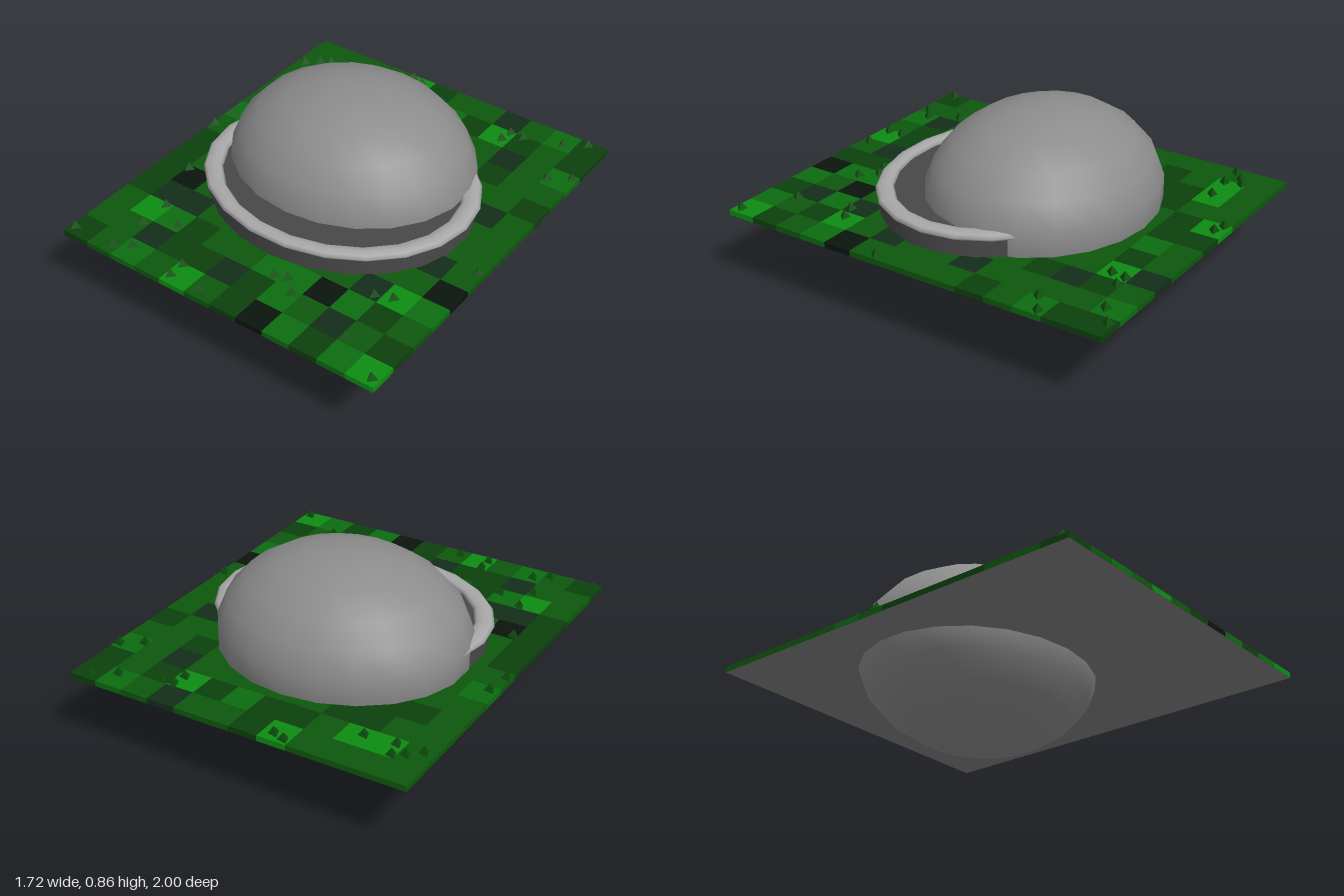
import * as THREE from 'three';

const mat = (color) => new THREE.MeshStandardMaterial({ color });
const SIDES = 22;
const GROUND_BOTTOM = 0.345, GROUND_TOP = 0.372;

function add(parent, name, geometry, material, x = 0, y = 0, z = 0) {
  const mesh = new THREE.Mesh(geometry, material);
  mesh.name = name;
  mesh.position.set(x, y, z);
  parent.add(mesh);
  return mesh;
}

// Patchwork of grass tiles, one letter per shade, back row first
const SHADES = { a: 0x0c400c, b: 0x0d580d, c: 0x0c6c10, d: 0x0d8c12, e: 0x132e1a, f: 0x0a150d };
const TILES = [
  'bbbbdabbebca',
  'bddbaacadaba',
  'bbaabbbbbebc',
  'baaabbbbbabb',
  'bbbbbbbbbbba',
  'cbbbbbbbbbeb',
  'bbbbbbbbbbbb',
  'abbbbbbbbbbb',
  'abbbbbbbbbeb',
  'afbbbbbbbbbf',
  'aeebbbbbbedc',
  'bdcabbccfcab',
  'bbeaaeacbeba',
  'abcbdbafcacd',
];

// Blade positions on the ground (x, z)
const BLADES = [
  [-0.26, -0.97], [-0.2, -0.95], [-0.7, -0.84], [-0.75, -0.81], [-0.81, -0.76], [-0.68, -0.76],
  [-0.53, -0.77], [0.4, -0.84], [0.47, -0.84], [0.39, -0.77], [0.66, -0.9], [0.76, -0.97],
  [0.73, -0.62], [0.83, -0.68], [-0.82, -0.18], [-0.84, -0.05], [-0.7, 0.31], [0.83, 0.16],
  [-0.6, 0.59], [-0.46, 0.67], [-0.6, 0.75], [0.11, 0.69], [0.17, 0.67], [0.24, 0.74],
  [0.54, 0.54], [0.62, 0.51], [0.59, 0.82], [0.82, 0.96], [-0.53, 0.9], [-0.6, 0.95],
  [-0.83, 0.95], [-0.26, 0.87], [-0.26, 0.95], [-0.1, 0.95],
];

function createGround() {
  const ground = new THREE.Group();
  ground.name = 'ground';
  const size = 1 / 7;
  const thickness = GROUND_TOP - GROUND_BOTTOM;
  const tile = new THREE.BoxGeometry(size, thickness, size);
  const materials = {};
  for (const key in SHADES) materials[key] = mat(SHADES[key]);
  TILES.forEach((row, j) => [...row].forEach((key, i) => {
    add(ground, 'grassTile', tile, materials[key],
      (i - 5.5) * size, GROUND_BOTTOM + thickness / 2, (j - 6.5) * size);
  }));

  // Plain grey underside
  const under = new THREE.PlaneGeometry(12 * size, 14 * size).rotateX(Math.PI / 2);
  add(ground, 'underside', under, mat(0x808080), 0, GROUND_BOTTOM - 0.001, 0);
  return ground;
}

function createGrass() {
  const grass = new THREE.Group();
  grass.name = 'grass';
  const blade = new THREE.ConeGeometry(0.03, 0.04, 3).rotateY(-0.2);
  const material = new THREE.MeshStandardMaterial({ color: 0x0d4f0d, flatShading: true });
  for (const [x, z] of BLADES) add(grass, 'grassBlade', blade, material, x, GROUND_TOP + 0.019, z);
  return grass;
}

export function createModel() {
  const model = new THREE.Group();
  model.name = 'domeOnGrass';
  model.add(createGround(), createGrass());

  // Ellipsoid boulder, half sunk through the ground
  const ball = new THREE.SphereGeometry(1, SIDES, 11).rotateY(Math.PI / 2);
  add(model, 'dome', ball, mat(0x8c8c8c), -0.055, 0.428, -0.14).scale.set(0.615, 0.428, 0.54);

  // Oval basin with a dark flat surface
  const bottom = GROUND_BOTTOM + 0.001, top = 0.462;
  const drum = new THREE.CylinderGeometry(1, 1, top - bottom, SIDES);
  add(model, 'basin', drum, mat(0x484848), 0, (top + bottom) / 2, 0.03).scale.set(0.66, 1, 0.56);

  // Flattened rim around the basin
  const rim = new THREE.TorusGeometry(1, 0.075, 8, SIDES).rotateX(Math.PI / 2);
  add(model, 'rim', rim, mat(0xa8a8a8), 0, 0.468, 0.03).scale.set(0.636, 0.27, 0.535);

  return model;
}
